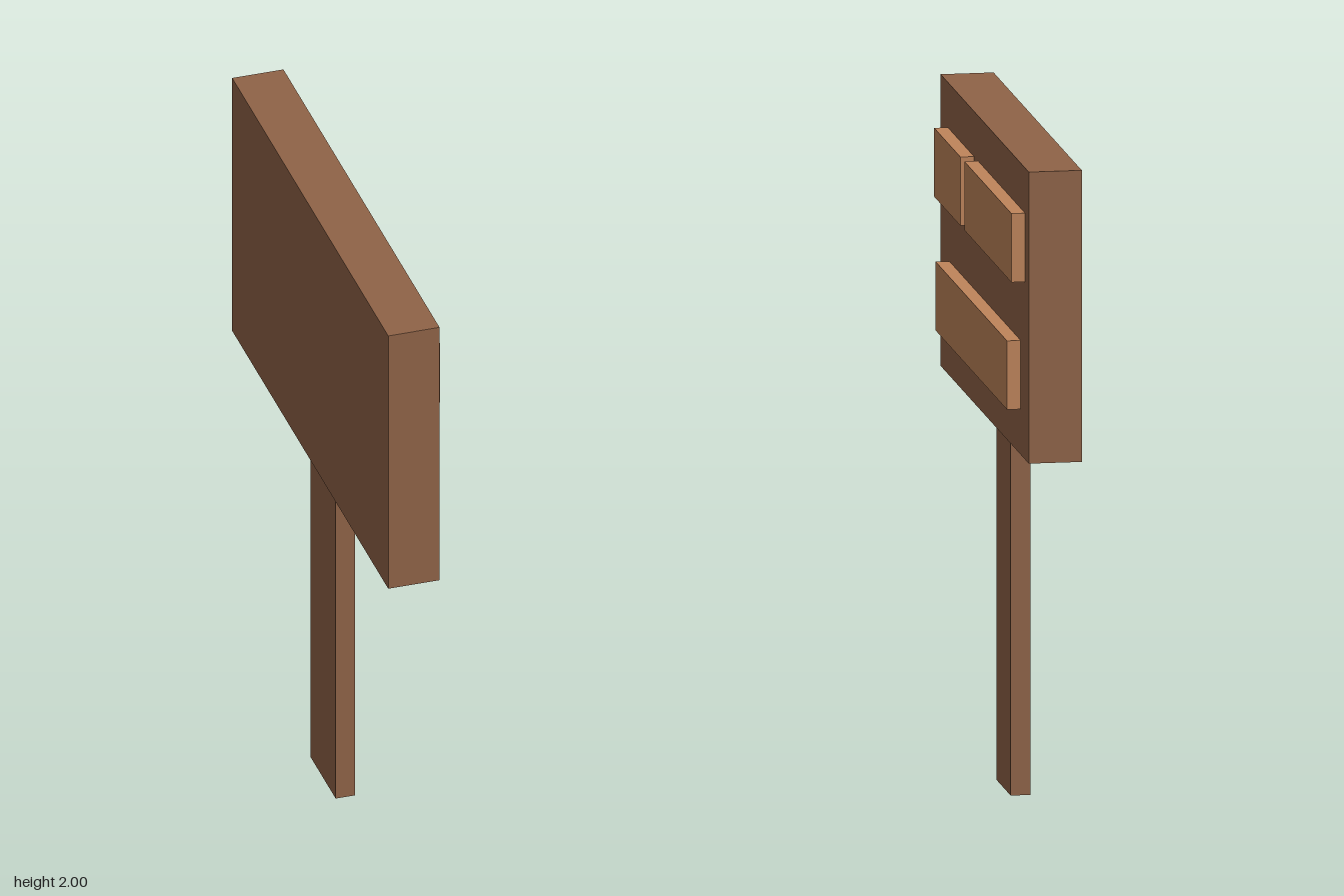
import * as THREE from 'three';

// Box given by its minimum and maximum on each axis
function slab(name, material, [x0, x1], [y0, y1], [z0, z1]) {
  const mesh = new THREE.Mesh(new THREE.BoxGeometry(x1 - x0, y1 - y0, z1 - z0), material);
  mesh.position.set((x0 + x1) / 2, (y0 + y1) / 2, (z0 + z1) / 2);
  mesh.name = name;
  return mesh;
}

export function createModel() {
  const darkWood = new THREE.MeshStandardMaterial({ color: 0x8f6347 });
  darkWood.name = 'darkWood';
  const lightWood = new THREE.MeshStandardMaterial({ color: 0xbf845a });
  lightWood.name = 'lightWood';

  const sign = new THREE.Group();
  sign.name = 'signpost';

  // Post and board
  sign.add(
    slab('post', darkWood, [-0.055, 0.005], [0, 1.122], [-0.138, 0.107]),
    slab('board', darkWood, [-0.1, 0.059], [1.122, 2], [-0.761, 0.761])
  );

  // Raised planks on the +x face
  const upper = [1.657, 1.864];
  const lower = [1.259, 1.466];
  const planks = [
    ['upperShortPlank', upper, [0.183, 0.635]],
    ['upperLongPlank', upper, [-0.697, 0.112]],
    ['lowerPlank', lower, [-0.621, 0.61]],
  ];
  for (const [name, y, z] of planks) sign.add(slab(name, lightWood, [0.059, 0.1], y, z));

  return sign;
}
